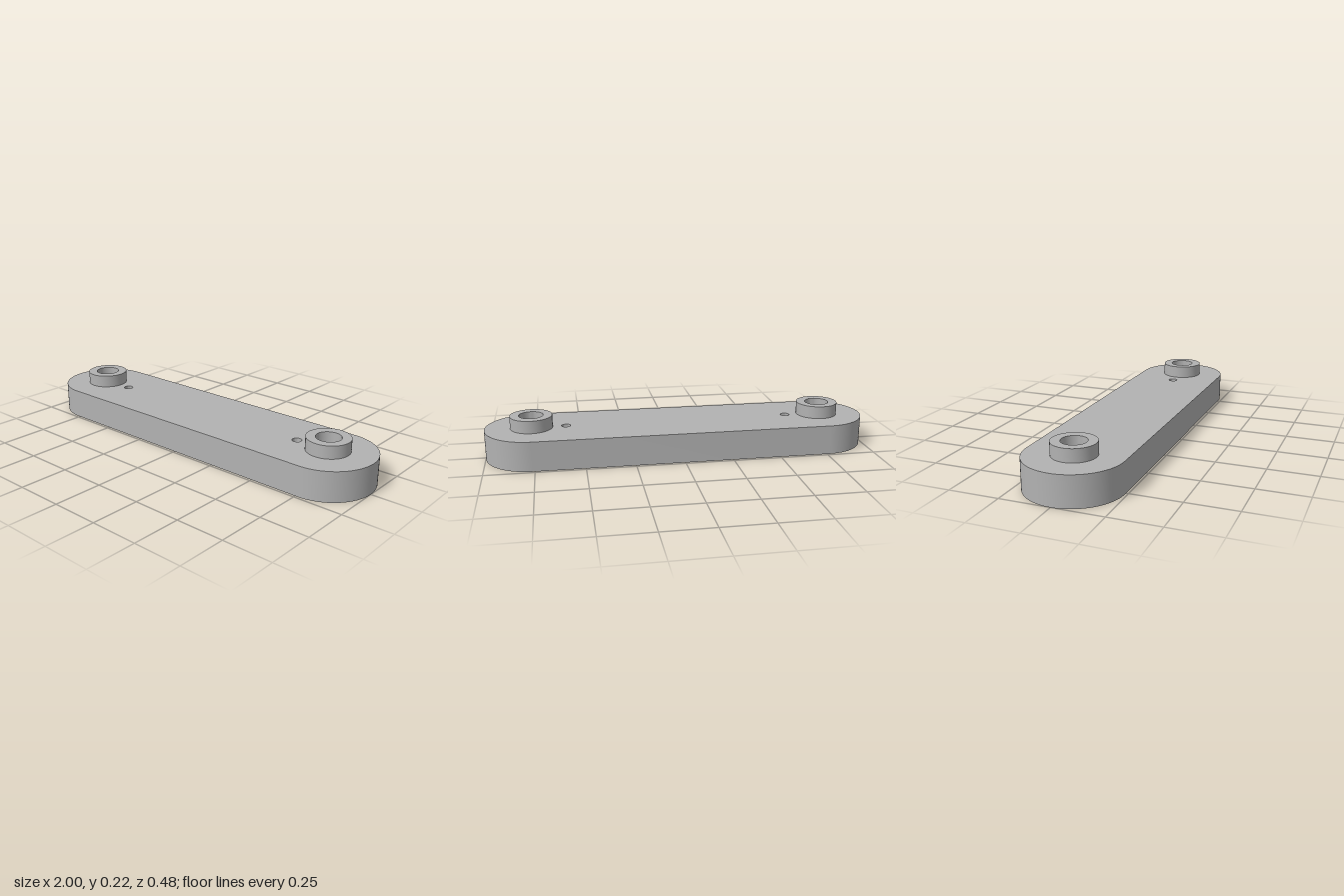
import * as THREE from 'three';
import { toCreasedNormals } from 'three/addons/utils/BufferGeometryUtils.js';

const THICK = 0.153;     // plate thickness
const TOP = 0.218;       // top of the bosses
const END_R = 0.238;     // rounded end radius
const PIVOT_X = 1 - END_R;
const BOSS_R = 0.108, BORE_R = 0.062;
const RECESS_R = 0.105, RECESS_TOP = 0.135;
const PIN_X = 0.587, PIN_R = 0.024, PIN_DEPTH = 0.077;
const ARC = 24;          // curve divisions (full circles get twice this)

// Stadium outline with optional round holes given as [x, radius]
function outline(holes = []) {
  const s = new THREE.Shape();
  s.moveTo(-PIVOT_X, -END_R);
  s.lineTo(PIVOT_X, -END_R);
  s.absarc(PIVOT_X, 0, END_R, -Math.PI / 2, Math.PI / 2, false);
  s.lineTo(-PIVOT_X, END_R);
  s.absarc(-PIVOT_X, 0, END_R, Math.PI / 2, Math.PI * 1.5, false);
  for (const [x, r] of holes) {
    s.holes.push(new THREE.Path().absarc(x, 0, r, 0, Math.PI * 2, true));
  }
  return s;
}

// Side wall only of the extruded outline
function sideWall() {
  const g = new THREE.ExtrudeGeometry(outline(), { depth: THICK, bevelEnabled: false, curveSegments: ARC });
  const side = g.groups[1];
  const pos = g.attributes.position.array.slice(side.start * 3, (side.start + side.count) * 3);
  const wall = new THREE.BufferGeometry();
  wall.setAttribute('position', new THREE.BufferAttribute(pos, 3));
  return toCreasedNormals(wall.rotateX(-Math.PI / 2), 0.6);
}

function turned(points) {
  const profile = points.map(([r, y]) => new THREE.Vector2(r, y));
  return toCreasedNormals(new THREE.LatheGeometry(profile, ARC * 2), 0.6);
}

export function createModel() {
  const model = new THREE.Group();
  model.name = 'linkBar';
  const grey = new THREE.MeshStandardMaterial({ color: 0xb2b2b2 });
  grey.name = 'grey';

  const add = (name, geometry, x = 0, y = 0) => {
    const mesh = new THREE.Mesh(geometry, grey);
    mesh.name = name;
    mesh.position.set(x, y, 0);
    model.add(mesh);
  };

  // Plate: top and bottom faces with openings, and the rim between them
  const topHoles = [-1, 1].flatMap((s) => [[s * PIVOT_X, BOSS_R], [s * PIN_X, PIN_R]]);
  const bottomHoles = [-1, 1].map((s) => [s * PIVOT_X, RECESS_R]);
  add('plateTop', new THREE.ShapeGeometry(outline(topHoles), ARC).rotateX(-Math.PI / 2), 0, THICK);
  add('plateBottom', new THREE.ShapeGeometry(outline(bottomHoles), ARC).rotateX(Math.PI / 2));
  add('plateRim', sideWall());

  // Boss outside, bore and wider recess underneath in one turned profile
  const boss = turned([
    [BOSS_R, THICK], [BOSS_R, TOP], [BORE_R, TOP],
    [BORE_R, RECESS_TOP], [RECESS_R, RECESS_TOP], [RECESS_R, 0],
  ]);
  // Small blind hole beside each boss
  const pinHole = turned([[PIN_R, THICK], [PIN_R, THICK - PIN_DEPTH], [0, THICK - PIN_DEPTH]]);

  for (const [side, s] of [['left', 1], ['right', -1]]) {
    add(side + 'BossAndBore', boss, s * PIVOT_X);
    add(side + 'PinHole', pinHole, s * PIN_X);
  }
  return model;
}
